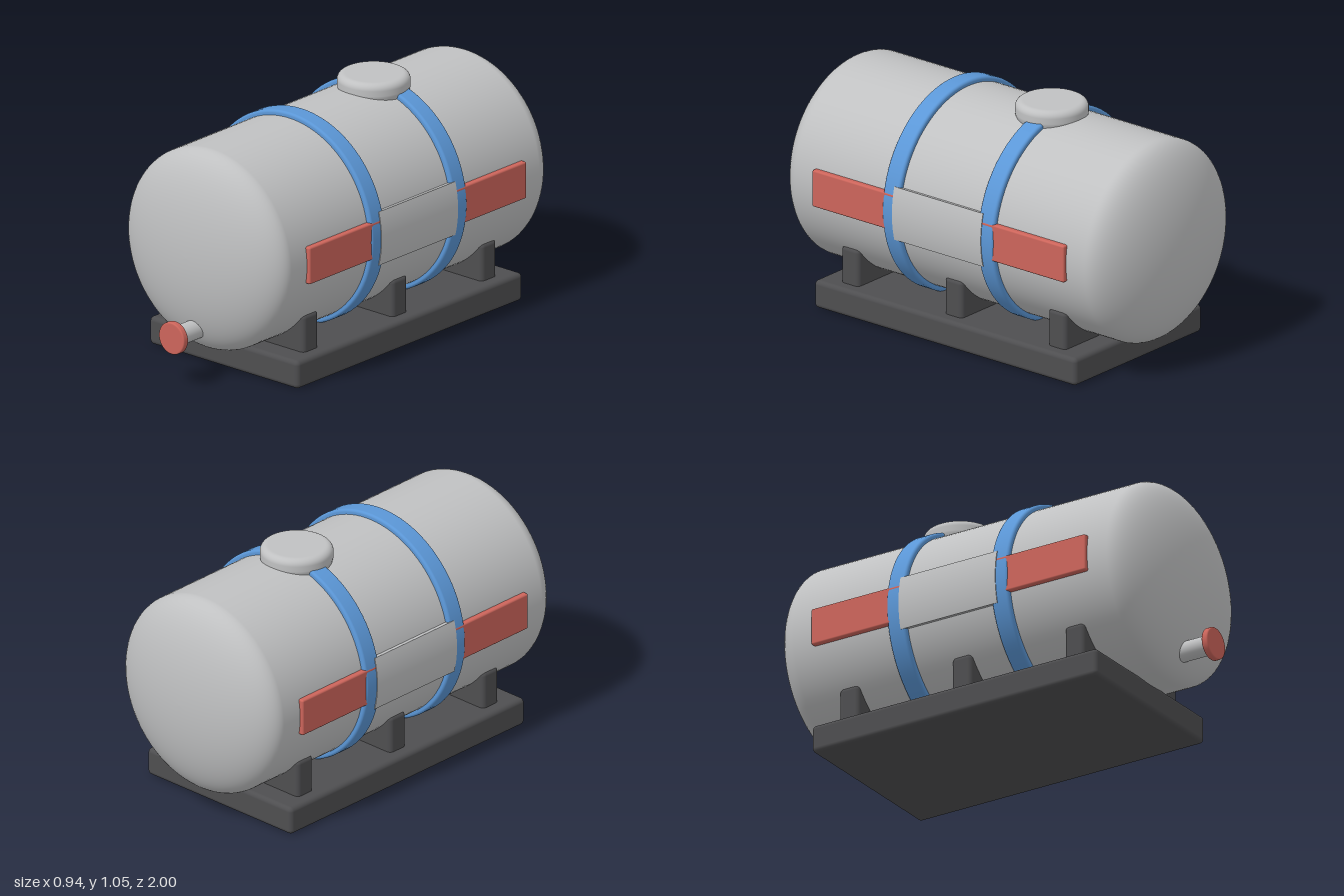
import * as THREE from 'three';
import { RoundedBoxGeometry } from 'three/addons/geometries/RoundedBoxGeometry.js';

const flat = (name, color) => {
  const m = new THREE.MeshStandardMaterial({ color });
  m.name = name;
  return m;
};

export function createModel() {
  const grey = flat('tank grey', 0xc0c1c2);
  const blue = flat('strap blue', 0x5b97d7);
  const red = flat('marking red', 0xcd655b);
  const dark = flat('base dark grey', 0x4e4e50);

  const group = new THREE.Group();
  const AXIS_Y = 0.555, R = 0.445, MID_Z = -0.045;

  const add = (name, geometry, material, x, y, z) => {
    const mesh = new THREE.Mesh(geometry, material);
    mesh.name = name;
    mesh.position.set(x, y, z);
    group.add(mesh);
    return mesh;
  };
  const rounded = (w, h, d, r) => new RoundedBoxGeometry(w, h, d, 4, r);
  // Lathe of [radius, height] pairs, optionally laid along z
  const lathe = (pts, alongZ, segments = 96) => {
    const g = new THREE.LatheGeometry(pts.map(([r, h]) => new THREE.Vector2(r, h)), segments);
    return alongZ ? g.rotateX(Math.PI / 2) : g;
  };
  // Quarter-round corner points, from angle a0 to a1
  const arc = (cr, ch, rr, rh, a0, a1, n) => Array.from({ length: n + 1 }, (_, i) => {
    const a = a0 + (a1 - a0) * i / n;
    return [Math.max(0, cr + rr * Math.cos(a)), ch + rh * Math.sin(a)];
  });
  const Q = Math.PI / 2;

  // Tank shell with elliptical domed ends
  add('tank', lathe([
    ...arc(0, -0.83, R, 0.17, -Q, 0, 20),
    ...arc(0, 0.74, R, 0.168, 0, Q, 20),
  ], true), grey, 0, AXIS_Y, 0);

  // Straps around the tank
  const hw = 0.043, outer = 0.467, cr = 0.012;
  const strapProfile = [
    [R - 0.01, -hw],
    ...arc(outer - cr, -hw + cr, cr, cr, -Q, 0, 4),
    ...arc(outer - cr, hw - cr, cr, cr, 0, Q, 4),
    [R - 0.01, hw],
  ];
  for (const [name, z] of [['frontStrap', 0.212], ['rearStrap', -0.308]]) {
    add(name, lathe(strapProfile, true), blue, 0, AXIS_Y, z);
  }

  // Side stripes and the curved cover plates over them
  const half = Math.asin(0.12 / 0.47);
  const plate = new THREE.Shape();
  plate.absarc(0, 0, 0.47, -half, half, false);
  plate.absarc(0, 0, 0.44, half, -half, true);
  plate.closePath();
  const plateGeometry = new THREE.ExtrudeGeometry(plate, { depth: 0.485, bevelEnabled: false, curveSegments: 20 });
  plateGeometry.translate(0, 0, -0.2425);
  for (const [side, s] of [['left', 1], ['right', -1]]) {
    add(side + 'Stripe', rounded(0.04, 0.165, 1.375, 0.008), red, s * 0.441, 0.5575, MID_Z);
    const cover = add(side + 'CoverPlate', plateGeometry, grey, 0, AXIS_Y, MID_Z);
    if (s < 0) cover.rotation.z = Math.PI;
  }

  // Manhole lid
  add('manholeLid', lathe([
    [0.13, 0.94],
    [0.148, 0.97],
    ...arc(0.125, 1.0, 0.03, 0.03, -0.3, 0, 2),
    ...arc(0.125, 1.023, 0.03, 0.03, 0, Q, 8),
    [0.12, 1.053],
    [0, 1.053],
  ], false, 64), grey, 0, 0, -0.285);

  // Drain pipe with end cap
  add('drainPipe', new THREE.CylinderGeometry(0.043, 0.043, 0.3, 40).rotateX(Q), grey, 0, 0.22, 0.825);
  add('drainCap', lathe([
    [0, -0.015],
    ...arc(0.065, -0.009, 0.006, 0.006, -Q, 0, 4),
    ...arc(0.065, 0.009, 0.006, 0.006, 0, Q, 4),
    [0.06, 0.015],
    [0, 0.015],
  ], true, 48), red, 0, 0.22, 0.985);

  // Base slab and saddles
  add('base', rounded(0.834, 0.124, 1.43, 0.02), dark, 0, 0.062, MID_Z);
  for (const [i, offset] of [0.565, 0, -0.565].entries()) {
    add('saddle' + (i + 1), rounded(0.722, 0.24, 0.097, 0.02), dark, 0, 0.17, MID_Z + offset);
  }
  return group;
}
